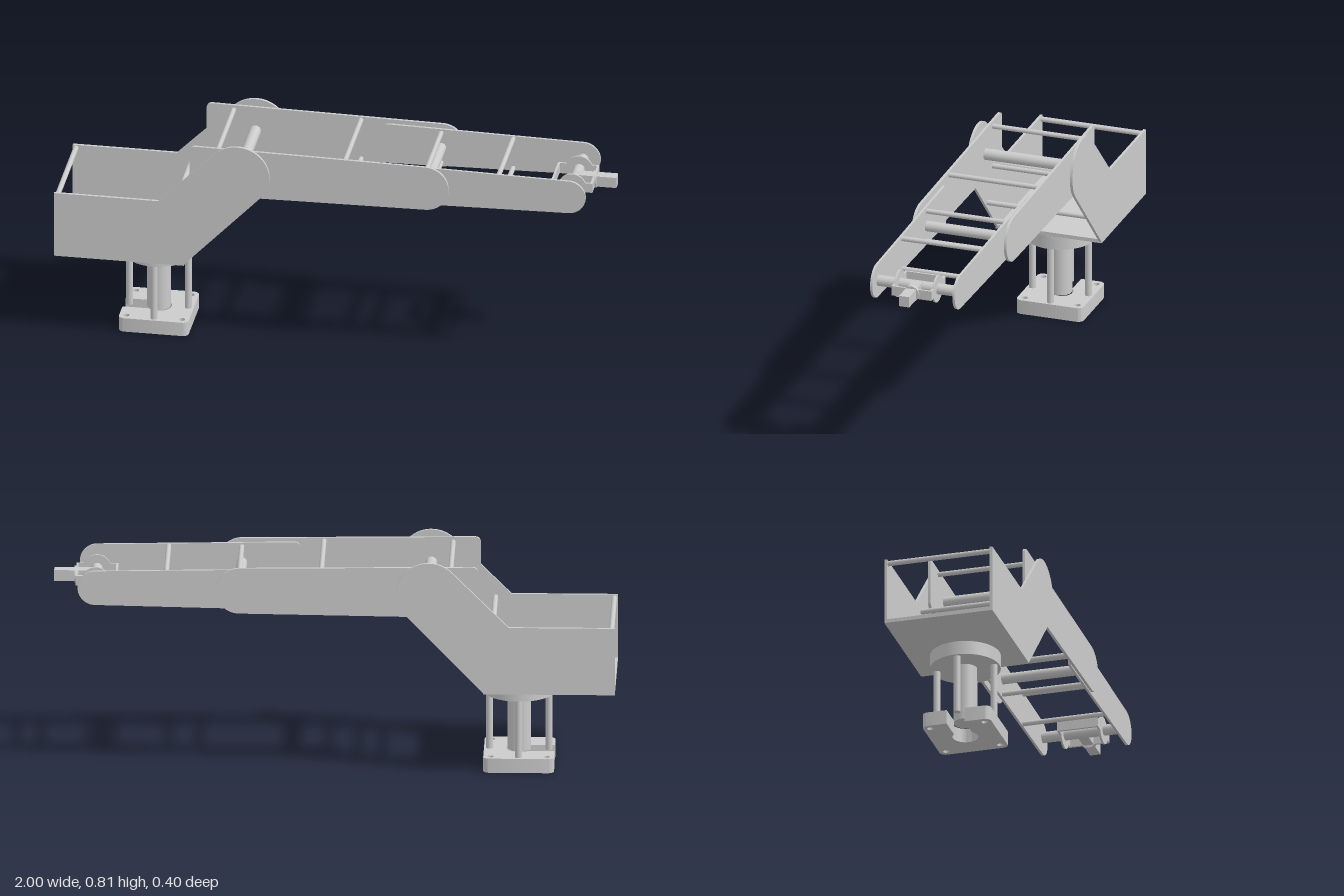
import * as THREE from 'three';
import { toCreasedNormals } from 'three/addons/utils/BufferGeometryUtils.js';

const AXIS_Y = 0.69; // height of the joint axes
const material = new THREE.MeshStandardMaterial({ color: 0xcccccc });

export function createModel() {
  const model = new THREE.Group();

  const section = (name) => {
    const g = new THREE.Group();
    g.name = name;
    model.add(g);
    return g;
  };
  const add = (parent, name, geometry, x = 0, y = 0, z = 0) => {
    const mesh = new THREE.Mesh(geometry, material);
    mesh.name = name;
    mesh.position.set(x, y, z);
    parent.add(mesh);
    return mesh;
  };
  const box = (parent, name, w, h, d, x, y, z) =>
    add(parent, name, new THREE.BoxGeometry(w, h, d), x, y, z);
  const post = (parent, name, r, y0, y1, x, z, sides = 24) =>
    add(parent, name, new THREE.CylinderGeometry(r, r, y1 - y0, sides), x, (y0 + y1) / 2, z);
  // Rod running across the arm
  const rod = (parent, name, r, halfLength, x, y) =>
    add(parent, name, new THREE.CylinderGeometry(r, r, 2 * halfLength, 20).rotateX(Math.PI / 2), x, y, 0);
  const extrude = (shape, depth) =>
    toCreasedNormals(new THREE.ExtrudeGeometry(shape, { depth, bevelEnabled: false, curveSegments: 24 }), 0.6);
  // Mirrored pair of side plates, outer faces at +-zOuter
  const platePair = (parent, name, shape, zOuter, thickness) => {
    const geometry = extrude(shape, thickness);
    add(parent, name, geometry, 0, 0, zOuter - thickness);
    add(parent, name, geometry, 0, 0, -zOuter);
  };
  // Link outline: rounded corners at the left, full round end at the right
  const linkShape = (x0, y0, y1, cx, r, corner) => {
    const s = new THREE.Shape();
    s.moveTo(x0 + corner, y0);
    s.lineTo(cx, AXIS_Y - r);
    s.absarc(cx, AXIS_Y, r, -Math.PI / 2, Math.PI / 2, false);
    s.lineTo(x0 + corner, y1);
    s.quadraticCurveTo(x0, y1, x0, y1 - corner);
    s.lineTo(x0, y0 + corner);
    s.quadraticCurveTo(x0, y0, x0 + corner, y0);
    return s;
  };

  // Pedestal: slotted foot plate with bolt holes, column, posts and turntable
  const pedestal = section('pedestal');
  const px = -0.655, h = 0.126, c = 0.022, slot = 0.033, bore = 0.046;
  const a = Math.asin(slot / bore);
  const foot = new THREE.Shape();
  foot.moveTo(-h, -slot);
  foot.lineTo(-h, -h + c);
  foot.absarc(-h + c, -h + c, c, Math.PI, 1.5 * Math.PI, false);
  foot.absarc(h - c, -h + c, c, -Math.PI / 2, 0, false);
  foot.absarc(h - c, h - c, c, 0, Math.PI / 2, false);
  foot.absarc(-h + c, h - c, c, Math.PI / 2, Math.PI, false);
  foot.lineTo(-h, slot);
  foot.absarc(0, 0, bore, Math.PI - a, -Math.PI + a, true);
  foot.closePath();
  for (const sx of [-1, 1]) for (const sy of [-1, 1]) {
    const hole = new THREE.Path();
    hole.absarc(sx * 0.1, sy * 0.1, 0.011, 0, Math.PI * 2, true);
    foot.holes.push(hole);
  }
  add(pedestal, 'footPlate', extrude(foot, 0.053).rotateX(-Math.PI / 2), px, 0, 0);
  post(pedestal, 'column', 0.042, 0.053, 0.268, px, 0, 32);
  for (let i = 0; i < 4; i++) {
    const t = i * Math.PI / 2;
    post(pedestal, 'post', 0.0125, 0.05, 0.268, px + 0.106 * Math.cos(t), 0.106 * Math.sin(t));
  }
  post(pedestal, 'turntable', 0.126, 0.267, 0.318, px, 0, 48);

  // Carriage: floor and two cranked side plates rising to the shoulder
  const carriage = section('carriage');
  box(carriage, 'floor', 0.47, 0.014, 0.4, -0.765, 0.325, 0);
  const side = new THREE.Shape();
  side.moveTo(-1, 0.318);
  side.lineTo(-0.535, 0.318);
  side.absarc(-0.337, AXIS_Y, 0.115, -Math.PI / 4, 0.75 * Math.PI, false);
  side.lineTo(-0.622, 0.567);
  side.lineTo(-1, 0.567);
  side.closePath();
  platePair(carriage, 'carriageSide', side, 0.2, 0.01);
  for (const [x, y] of [[-0.988, 0.555], [-0.565, 0.555], [-0.415, 0.467]])
    rod(carriage, 'carriageRod', 0.0095, 0.192, x, y);
  rod(carriage, 'shoulderShaft', 0.021, 0.192, -0.337, AXIS_Y);

  // Upper link
  const upper = section('upperLink');
  platePair(upper, 'upperLinkSide', linkShape(-0.513, 0.596, 0.785, 0.337, 0.084, 0.022), 0.18, 0.01);
  for (const x of [-0.415, 0.045])
    for (const y of [0.612, 0.766]) rod(upper, 'upperLinkRod', 0.009, 0.174, x, y);
  rod(upper, 'elbowShaft', 0.019, 0.174, 0.337, AXIS_Y);

  // Forearm link
  const fore = section('forearmLink');
  platePair(fore, 'forearmSide', linkShape(0.13, 0.614, 0.766, 0.85, 0.063, 0.02), 0.16, 0.009);
  for (const x of [0.337, 0.597])
    for (const y of [0.631, 0.748]) rod(fore, 'forearmRod', 0.009, 0.154, x, y);
  rod(fore, 'wristShaft', 0.02, 0.154, 0.85, AXIS_Y);

  // Wrist: small rectangular cage around the shaft with a tool stub
  const wrist = section('wrist');
  for (const s of [-1, 1]) {
    box(wrist, 'cageSide', 0.15, 0.036, 0.007, 0.848, AXIS_Y, s * 0.072);
    add(wrist, 'cageDisc', new THREE.CylinderGeometry(0.05, 0.05, 0.007, 32).rotateX(Math.PI / 2),
      0.85, AXIS_Y, s * 0.072);
    box(wrist, 'cageEnd', 0.008, 0.036, 0.15, 0.848 + s * 0.071, AXIS_Y, 0);
  }
  add(wrist, 'toolFlange', new THREE.CylinderGeometry(0.03, 0.03, 0.014, 32).rotateZ(Math.PI / 2),
    0.921, AXIS_Y, 0);
  box(wrist, 'toolStub', 0.15, 0.04, 0.038, 0.925, AXIS_Y, 0);

  return model;
}
